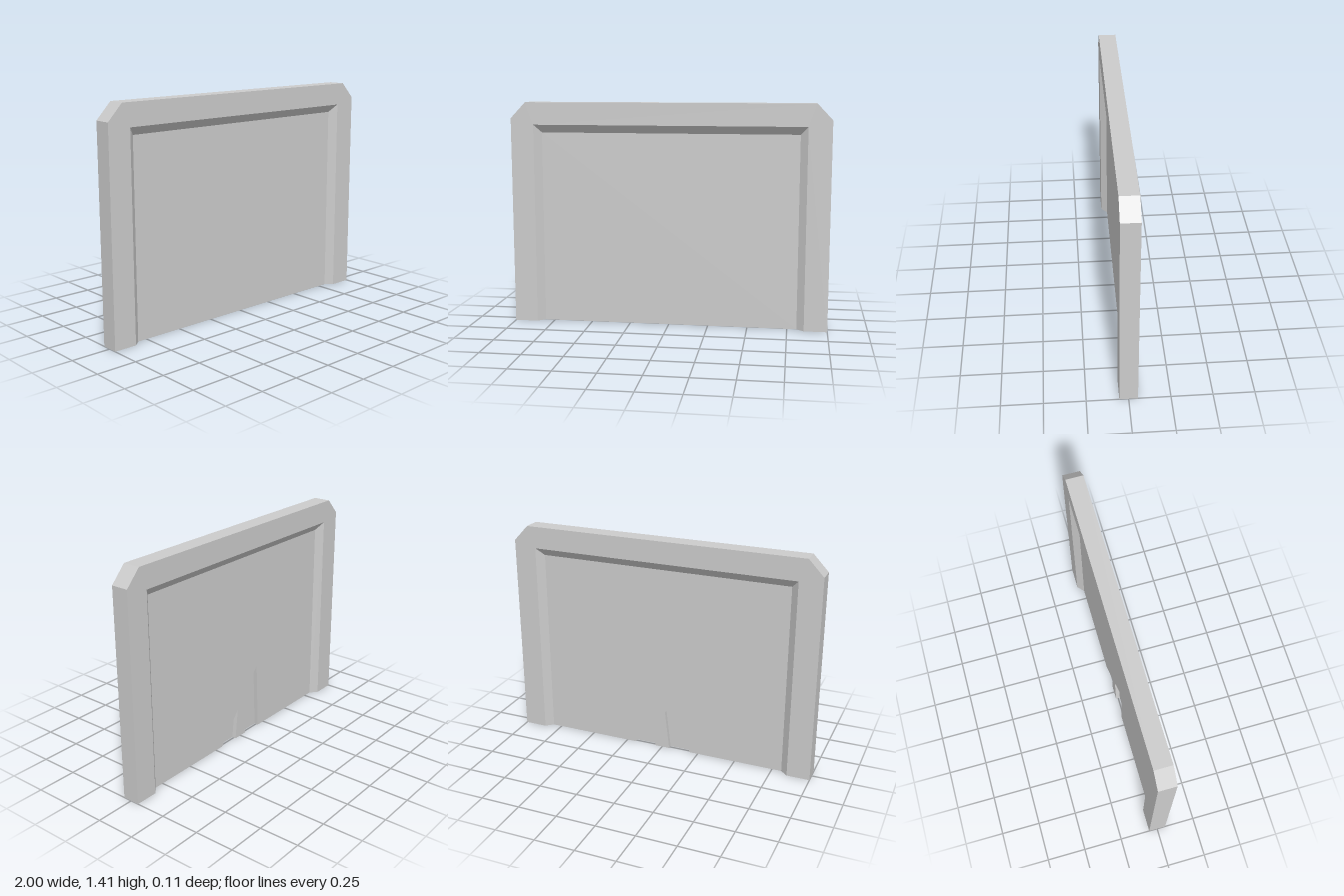
import * as THREE from 'three';

const HALF = 0.055;   // half thickness of the frame
const CORE = 0.015;   // half thickness of the panel
const SKIN = 0.012;   // depth reached by the notches

export function createModel() {
  const group = new THREE.Group();
  const material = new THREE.MeshStandardMaterial({ color: 0xcccccc, flatShading: true });

  const add = (name, geometry) => {
    const mesh = new THREE.Mesh(geometry, material);
    mesh.name = name;
    group.add(mesh);
  };

  // Flat outline extruded between two depths
  const slab = (points, z0, z1) => {
    const shape = new THREE.Shape(points.map(([x, y]) => new THREE.Vector2(x, y)));
    const geometry = new THREE.ExtrudeGeometry(shape, { depth: z1 - z0, bevelEnabled: false });
    return geometry.translate(0, 0, z0);
  };

  const outer = [[-0.855, 0], [-0.855, 1.27], [0.855, 1.27], [0.855, 0]];
  const inner = [[-0.81, 0], [-0.81, 1.22], [0.81, 1.22], [0.81, 0]];

  // Arch-shaped frame with clipped top corners
  add('frame', slab([
    [-1, 0], ...outer, [1, 0],
    [1, 1.31], [0.905, 1.41], [-0.905, 1.41], [-1, 1.31],
  ], -HALF, HALF));

  // Sloping trim from frame to panel, on both faces
  const positions = [];
  const quad = (a, b, c, d) => positions.push(...a, ...b, ...c, ...a, ...c, ...d);
  for (let k = 0; k < 3; k++) {
    for (const s of [1, -1]) {
      const corners = [
        [...outer[k], s * HALF], [...inner[k], s * CORE],
        [...inner[k + 1], s * CORE], [...outer[k + 1], s * HALF],
      ];
      quad(...(s > 0 ? corners : corners.reverse()));
    }
  }
  // Feet of the trim
  for (const k of [0, 3]) {
    const foot = [
      [...outer[k], HALF], [...outer[k], -HALF],
      [...inner[k], -CORE], [...inner[k], CORE],
    ];
    quad(...(k === 0 ? foot : foot.reverse()));
  }
  const trim = new THREE.BufferGeometry();
  trim.setAttribute('position', new THREE.Float32BufferAttribute(positions, 3));
  trim.computeVertexNormals();
  add('bevelledTrim', trim);

  // Front sheet of the panel
  add('frontPanel', slab(inner, SKIN, CORE));

  // Back of the panel, with two slanted notches either side of a tapered rib
  add('backPanel', slab([
    [-0.81, 0], [-0.19, 0], [-0.172, 0.445], [-0.02, 0.257], [-0.05, 0],
    [0.05, 0], [0.026, 0.2], [0.19, 0], [0.81, 0], [0.81, 1.22], [-0.81, 1.22],
  ], -CORE, SKIN));

  return group;
}
